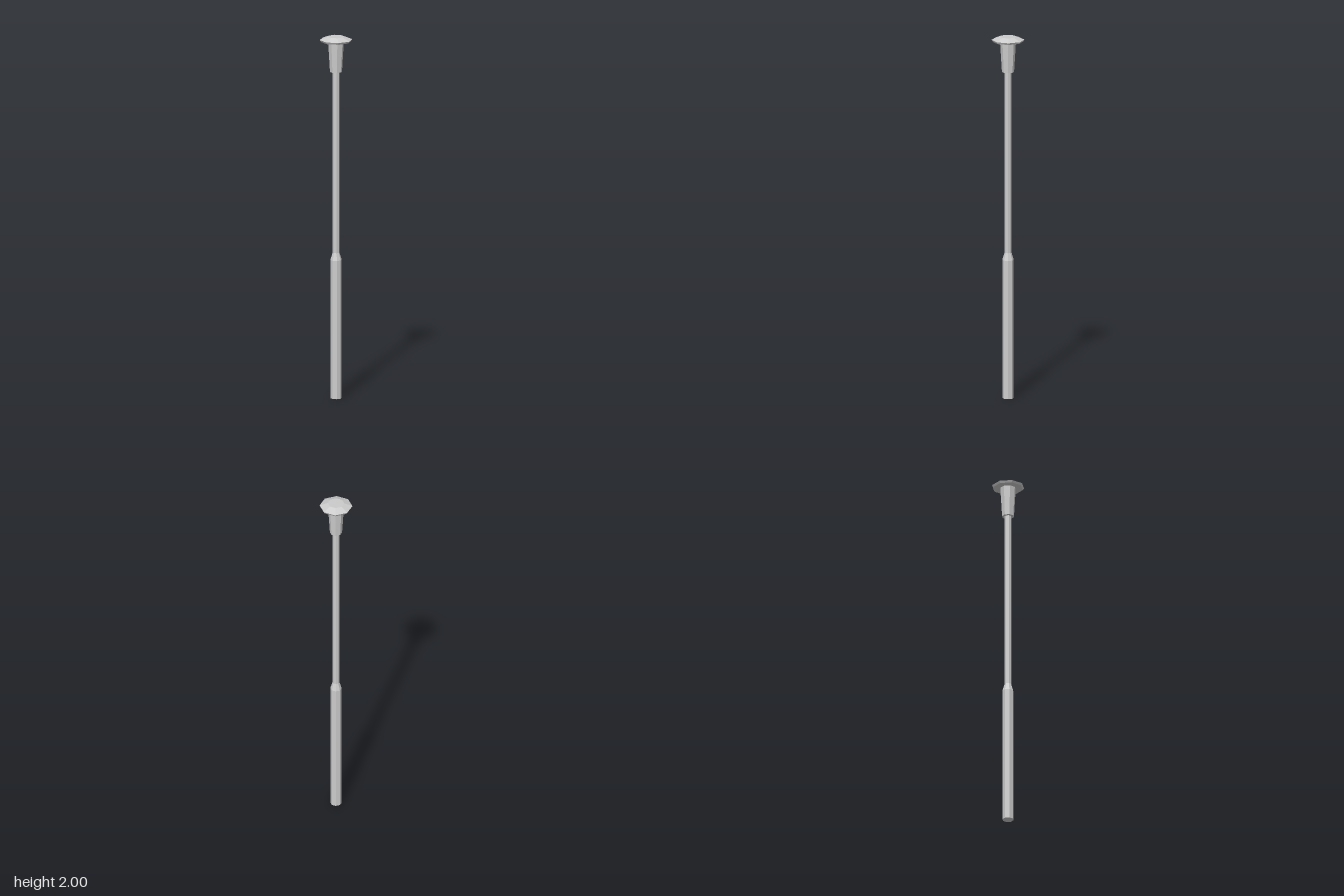
import * as THREE from 'three';

const SIDES = 8;

export function createModel() {
  const group = new THREE.Group();
  const material = new THREE.MeshStandardMaterial({ color: 0xcccccc, flatShading: true });

  // Octagonal turned part from [radius, height] pairs, bottom to top
  const turned = (name, profile) => {
    const points = profile.map(([r, y]) => new THREE.Vector2(r, y));
    const mesh = new THREE.Mesh(new THREE.LatheGeometry(points, SIDES), material);
    mesh.name = name;
    group.add(mesh);
  };

  // Thick lower post with a tapered shoulder
  turned('basePost', [[0, 0], [0.031, 0], [0.031, 0.765], [0.019, 0.805]]);

  // Slim upper pole
  turned('pole', [[0.019, 0.805], [0.019, 1.805]]);

  // Lantern body, widening upward
  turned('lantern', [[0, 1.805], [0.033, 1.805], [0.043, 1.972]]);

  // Flat-topped cap with a thin rim
  turned('cap', [[0, 1.972], [0.082, 1.972], [0.089, 1.983], [0.045, 2], [0, 2]]);

  return group;
}
